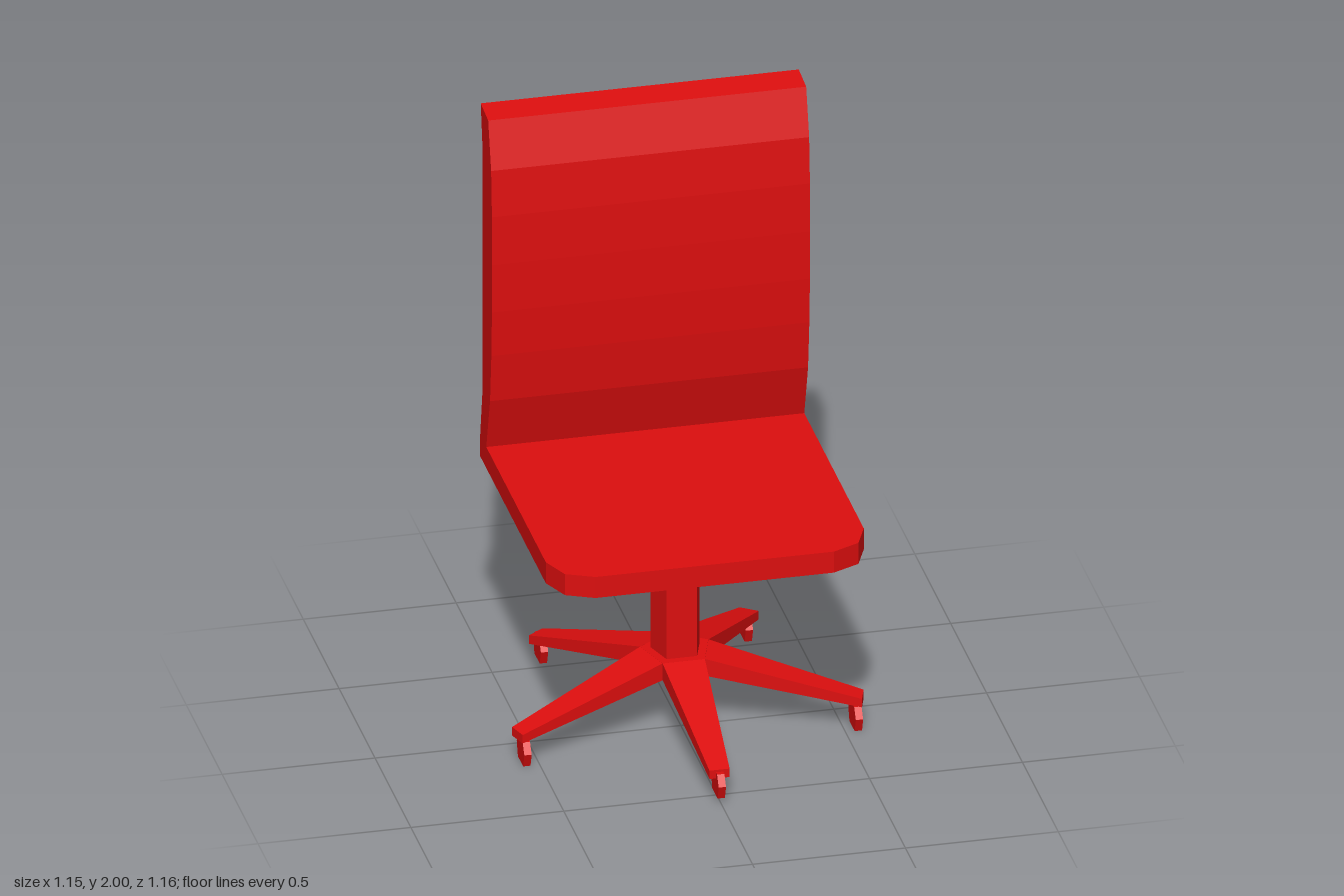
import * as THREE from 'three';

const CENTER_Z = -0.054; // axis of the column and the five-legged base

function facet(geometry) {
  const g = geometry.index ? geometry.toNonIndexed() : geometry;
  g.computeVertexNormals();
  return g;
}

function shapeFrom(points) {
  return new THREE.Shape(points.map(([x, y]) => new THREE.Vector2(x, y)));
}

// Side profile given as [z, y], extruded across x and centred on x = 0
function sideExtrude(points, width) {
  return new THREE.ExtrudeGeometry(shapeFrom(points), { depth: width, bevelEnabled: false })
    .translate(0, 0, -width / 2)
    .rotateY(-Math.PI / 2);
}

// Tapered leg running along +z from the hub face to the tip
function legGeometry() {
  const g = new THREE.BoxGeometry(1, 1, 1);
  const p = g.attributes.position;
  for (let i = 0; i < p.count; i++) {
    const tip = p.getZ(i) > 0;
    const top = p.getY(i) > 0;
    const x = Math.sign(p.getX(i)) * (tip ? 0.033 : 0.069);
    const y = tip ? (top ? 0.11 : 0.08) : (top ? 0.25 : 0.19);
    p.setXYZ(i, x, y, tip ? 0.594 : 0.095);
  }
  return facet(g);
}

export function createModel() {
  const group = new THREE.Group();
  const red = new THREE.MeshStandardMaterial({ color: 0xdd0e0e });
  red.name = 'red';

  function add(name, geometry, x = 0, y = 0, z = 0) {
    const mesh = new THREE.Mesh(geometry, red);
    mesh.name = name;
    mesh.position.set(x, y, z);
    group.add(mesh);
    return mesh;
  }

  // Seat slab with clipped front corners
  const seat = new THREE.ExtrudeGeometry(shapeFrom([
    [-0.52, -0.58], [0.52, -0.58], [0.52, 0.335], [0.48, 0.43],
    [0.39, 0.472], [-0.39, 0.472], [-0.48, 0.43], [-0.52, 0.335],
  ]), { depth: 0.075, bevelEnabled: false }).rotateX(Math.PI / 2);
  add('seat', seat, 0, 0.81, 0);

  // Curved backrest
  add('backrest', sideExtrude([
    [-0.58, 0.81], [-0.545, 1.0], [-0.545, 1.84], [-0.572, 2.0],
    [-0.468, 1.99], [-0.427, 1.83], [-0.416, 1.67], [-0.414, 1.5], [-0.416, 1.33],
    [-0.424, 1.17], [-0.442, 1.0], [-0.495, 0.81],
  ], 1.04));

  // Five-sided column and hub, one flat side facing forward
  const prism = (r, h) => facet(new THREE.CylinderGeometry(r, r, h, 5, 1, false, Math.PI / 5));
  add('column', prism(0.085, 0.49), 0, 0.49, CENTER_Z);
  add('hub', prism(0.117, 0.06), 0, 0.22, CENTER_Z);

  // Legs, each with a thin caster that keeps pointing forward
  const leg = legGeometry();
  const caster = sideExtrude([
    [-0.037, 0], [0.037, 0], [0.053, 0.047], [0.03, 0.082], [-0.03, 0.082], [-0.053, 0.047],
  ], 0.024);
  for (let i = 0; i < 5; i++) {
    const angle = (i * Math.PI * 2) / 5;
    add('leg', leg, 0, 0, CENTER_Z).rotation.y = angle;
    const low = i === 1 || i === 4;
    add('caster', caster, Math.sin(angle) * 0.57, low ? 0 : 0.02,
      low ? 0.128 : CENTER_Z + Math.cos(angle) * 0.581);
  }
  return group;
}
